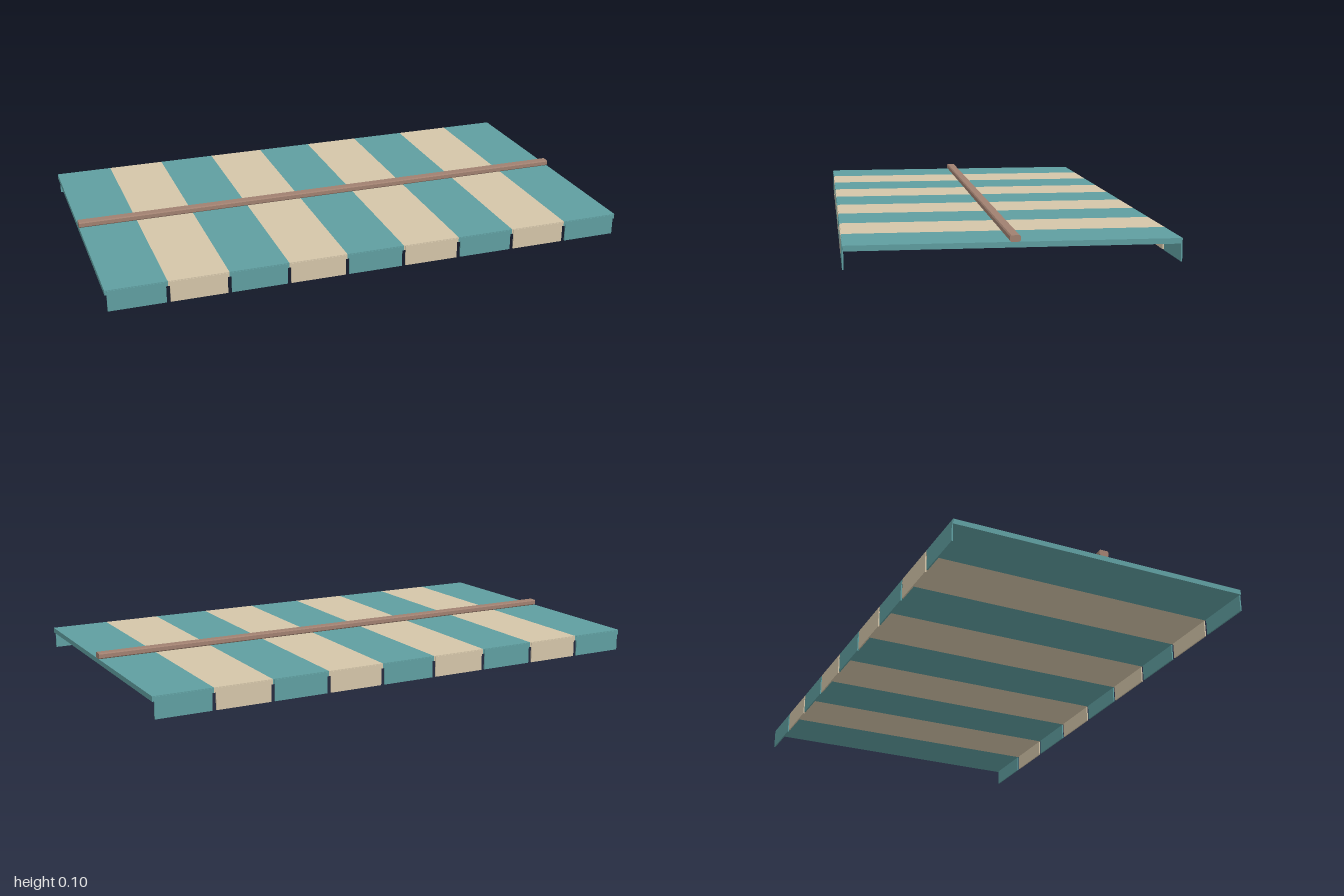
import * as THREE from 'three';

const STRIPES = 9, W = 2 / STRIPES, HALF_Z = 0.566;
const TOP = 0.081, BOTTOM = 0.062;

const teal = new THREE.MeshStandardMaterial({ color: 0x5f9ea0 });
const cream = new THREE.MeshStandardMaterial({ color: 0xd4c5a9 });
const wood = new THREE.MeshStandardMaterial({ color: 0xa08070 });

function box(name, w, h, d, x, y, z, material) {
  const mesh = new THREE.Mesh(new THREE.BoxGeometry(w, h, d), material);
  mesh.position.set(x, y, z);
  mesh.name = name;
  return mesh;
}

// Bar along x with chamfered long edges
function ridgeBar() {
  const hz = 0.018, hy = 0.011, c = 0.004;
  const shape = new THREE.Shape([
    [-hz + c, -hy], [hz - c, -hy], [hz, -hy + c], [hz, hy - c],
    [hz - c, hy], [-hz + c, hy], [-hz, hy - c], [-hz, -hy + c],
  ].map(([x, y]) => new THREE.Vector2(x, y)));
  const geometry = new THREE.ExtrudeGeometry(shape, { depth: 2, bevelEnabled: false });
  geometry.translate(0, 0, -1).rotateY(Math.PI / 2);
  const mesh = new THREE.Mesh(geometry, wood);
  mesh.position.y = TOP + hy;
  mesh.name = 'ridgeBar';
  return mesh;
}

export function createModel() {
  const model = new THREE.Group();
  model.name = 'awningCanopy';

  for (let i = 0; i < STRIPES; i++) {
    const x = -1 + W * (i + 0.5);
    const material = i % 2 ? cream : teal;

    // Roof stripe
    model.add(box('roofStripe', W, TOP - BOTTOM, HALF_Z * 2, x, (TOP + BOTTOM) / 2, 0, material));

    // Hanging valance flaps on both long edges, with narrow gaps between
    for (const side of [1, -1]) {
      const name = side > 0 ? 'frontFlap' : 'backFlap';
      model.add(box(name, W - 0.014, 0.078, 0.005, x, 0.039, side * (HALF_Z - 0.0005), material));
    }
  }

  model.add(ridgeBar());
  return model;
}
